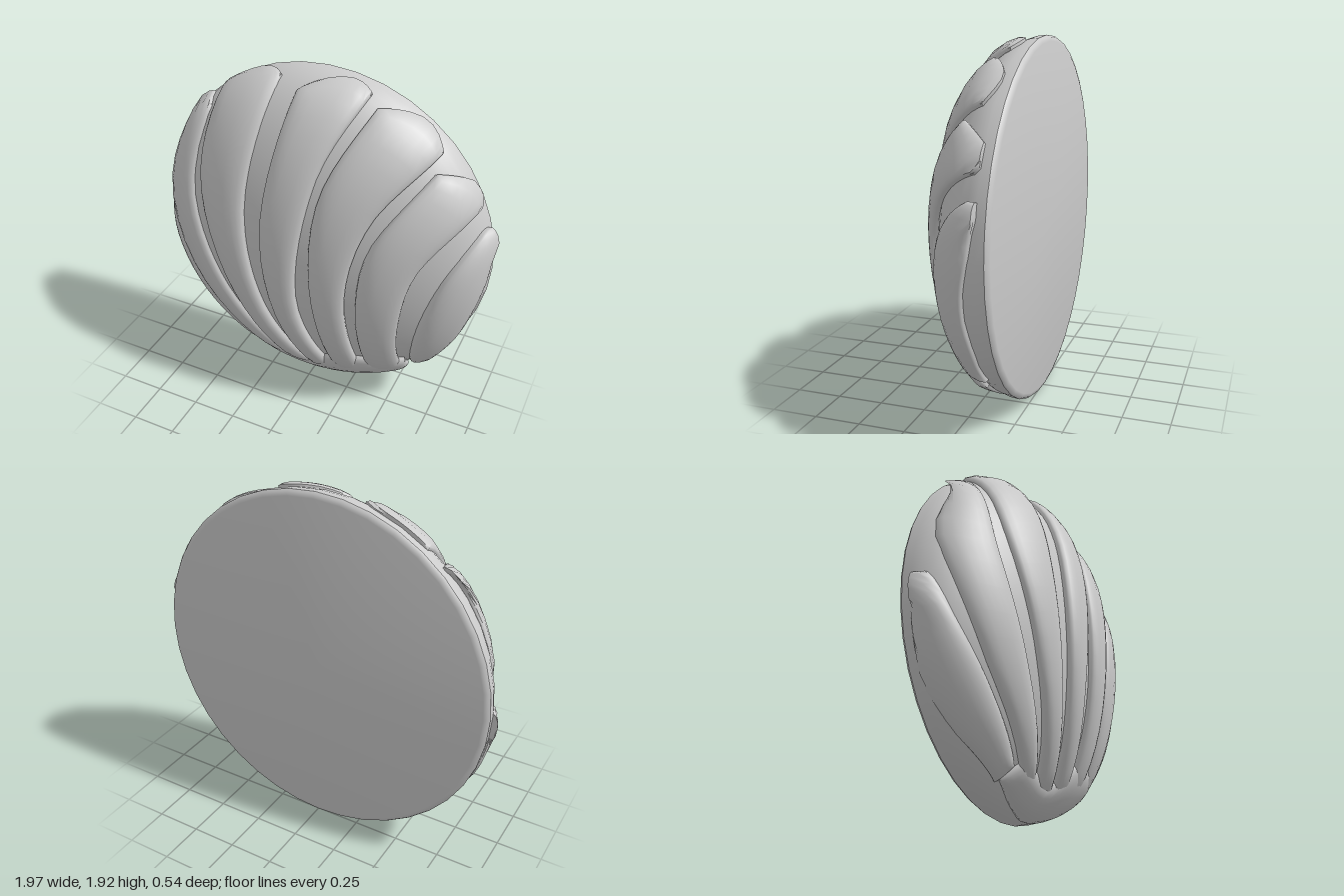
import * as THREE from 'three';
import { toCreasedNormals } from 'three/addons/utils/BufferGeometryUtils.js';

const CY = 0.985;           // height of the dome's axis
const Z0 = -0.25;           // plane of the dome's rim
const R = 0.945, H = 0.465; // radius and rise of the dome
const LIFT = 0.055;         // ridge thickness

const mat = new THREE.MeshStandardMaterial({ color: 0xcccccc, side: THREE.DoubleSide });

// Puts a front-view point on the dome, raised by h along it
function onDome(x, y, h) {
  const dy = y - CY, r = Math.hypot(x, dy);
  const phi = Math.asin(Math.min(r / (R + LIFT), 0.995));
  const k = (R + h) * Math.sin(phi) / r;
  return [x * k, CY + dy * k, Z0 + (H + h) * Math.cos(phi)];
}

// Steps from 0 to 1, denser at both ends, with a sunken wall and rounded shoulder at each end
function cushion(count, shoulder) {
  const steps = [[0, -0.6]];
  for (let i = 0; i <= count; i++) {
    const s = (1 - Math.cos(Math.PI * i / count)) / 2;
    const edge = Math.min(1, Math.min(s, 1 - s) / shoulder);
    steps.push([s, 0.35 + 0.65 * Math.sqrt(Math.sin(edge * Math.PI / 2))]);
  }
  steps.push([1, -0.6]);
  return steps;
}

const edgeCurve = pts => new THREE.SplineCurve(pts.map(([x, y]) => new THREE.Vector2(x, y)));

// Rounded strip lying on the dome between two edge curves
function ridge(name, left, right, bulge) {
  const a = edgeCurve(left), b = edgeCurve(right);
  const across = cushion(10, 0.4), along = cushion(22, 0.07);
  const pos = [], idx = [], n = across.length;
  along.forEach(([t, ht], j) => {
    const p = a.getPointAt(t), q = b.getPointAt(t);
    across.forEach(([s, hs], i) => {
      // The upper end bows outwards
      const grow = 1 + bulge * 4 * s * (1 - s) * Math.max(0, 1 - t / 0.2);
      const x = (p.x + (q.x - p.x) * s) * grow;
      const y = CY + (p.y + (q.y - p.y) * s - CY) * grow;
      pos.push(...onDome(x, y, LIFT * Math.min(hs, ht)));
      if (j && i) {
        const d = j * n + i, c = d - 1, e = d - n, f = e - 1;
        idx.push(f, c, d, f, d, e);
      }
    });
  });
  const geo = new THREE.BufferGeometry();
  geo.setAttribute('position', new THREE.Float32BufferAttribute(pos, 3));
  geo.setIndex(idx);
  const mesh = new THREE.Mesh(toCreasedNormals(geo, 0.9), mat);
  mesh.name = name;
  return mesh;
}

export function createModel() {
  const group = new THREE.Group();
  group.name = 'ridgedDome';

  // Dome with a flat back and a small rounded rim
  const profile = [[0, -0.27], [0.93, -0.27], [0.95, -0.264], [0.96, -0.25]]
    .map(([x, y]) => new THREE.Vector2(x, y));
  for (let i = 1; i <= 16; i++) {
    const t = i / 16 * Math.PI / 2;
    profile.push(new THREE.Vector2(Math.max(0, 0.96 * Math.cos(t)), Z0 + H * Math.sin(t)));
  }
  const domeGeo = new THREE.LatheGeometry(profile, 40);
  domeGeo.rotateX(Math.PI / 2).translate(-0.01, 0.98, 0);
  const dome = new THREE.Mesh(toCreasedNormals(domeGeo, 0.7), mat);
  dome.name = 'dome';
  group.add(dome);

  // Ridges fanning up from the bottom: left edge and right edge, top to bottom
  const ridges = [
    [[[-1, 0.98], [-0.93, 0.6], [-0.7, 0.3], [-0.35, 0.1]],
      [[-0.97, 0.99], [-0.85, 0.74], [-0.62, 0.46], [-0.32, 0.18]]],
    [[[-0.7, 1.7], [-0.94, 1.2], [-0.72, 0.62], [-0.2, 0.1]],
      [[-0.65, 1.68], [-0.69, 1.2], [-0.48, 0.65], [-0.12, 0.12]]],
    [[[-0.6, 1.78], [-0.62, 1.3], [-0.42, 0.7], [-0.1, 0.1]],
      [[-0.23, 1.93], [-0.31, 1.25], [-0.2, 0.62], [0.05, 0.1]]],
    [[[-0.1, 1.9], [-0.19, 1.2], [-0.12, 0.6], [0.06, 0.1]],
      [[0.28, 1.92], [0.1, 1.5], [0.02, 0.75], [0.18, 0.14]]],
    [[[0.33, 1.87], [0.14, 1.45], [0.11, 0.9], [0.2, 0.15]],
      [[0.68, 1.68], [0.42, 1.35], [0.31, 0.85], [0.36, 0.16]]],
    [[[0.68, 1.6], [0.43, 1.2], [0.37, 0.75], [0.4, 0.17]],
      [[0.9, 1.39], [0.67, 1.08], [0.59, 0.65], [0.58, 0.22]]],
    [[[0.94, 1.27], [0.8, 1], [0.7, 0.68], [0.63, 0.3]],
      [[0.97, 1.24], [0.98, 0.95], [0.87, 0.55], [0.71, 0.3]]],
  ];
  ridges.forEach(([left, right], i) => group.add(ridge(`ridge${i + 1}`, left, right, 0.06)));

  // Cushion at the bottom where the ridges run together
  group.add(ridge('ridgeRoot',
    [[-0.36, 0.12], [-0.15, 0.03], [0.1, 0], [0.35, 0.07], [0.6, 0.22]],
    [[-0.27, 0.22], [0, 0.16], [0.22, 0.31], [0.61, 0.34]], 0));

  return group;
}
